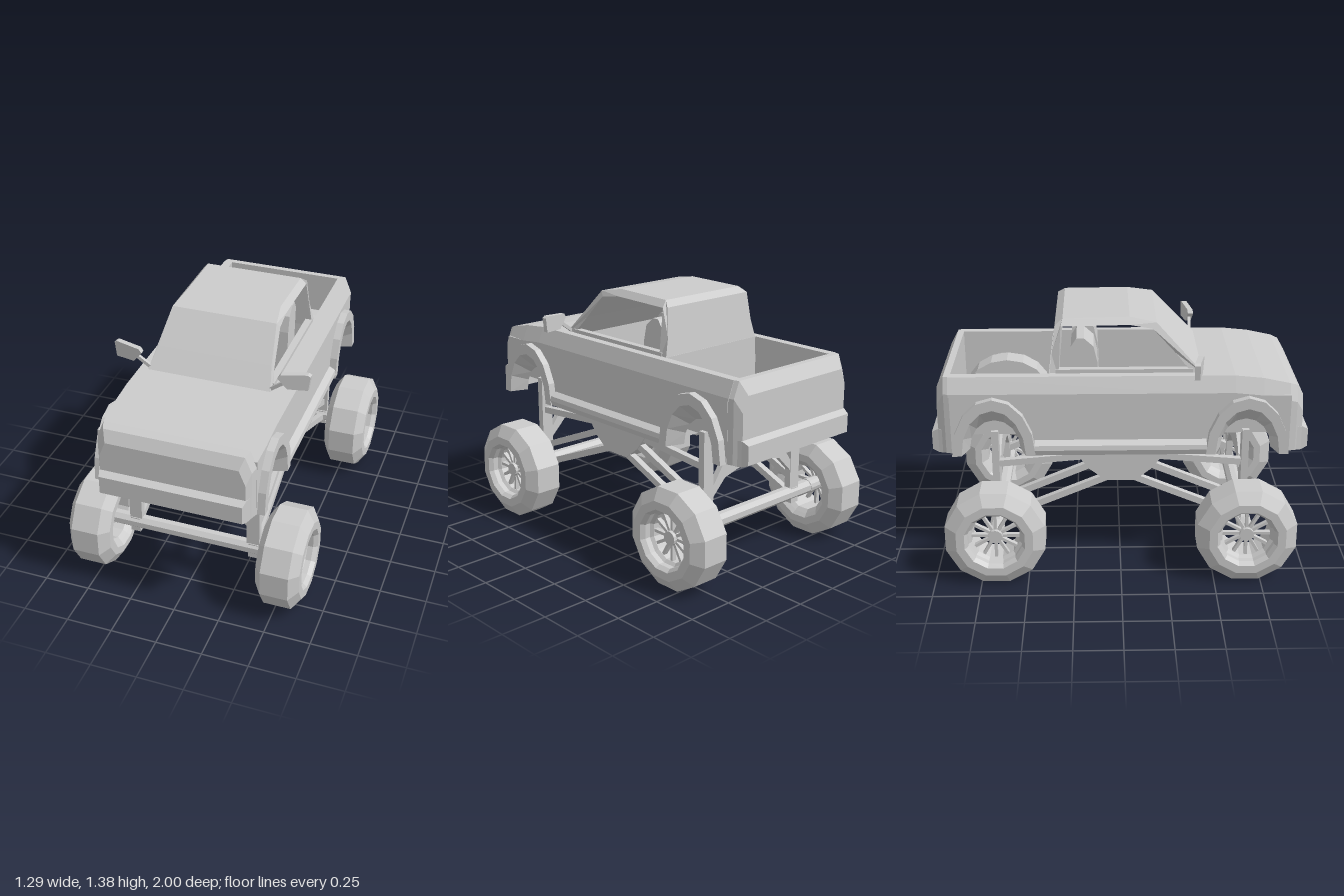
import * as THREE from 'three';

const mat = new THREE.MeshStandardMaterial({ color: 0xcccccc, flatShading: true });

// Capped solid through a row of closed, equally long outlines
function loft(sections) {
  const n = sections[0].length, last = (sections.length - 1) * n, idx = [];
  for (let s = 0; s < sections.length - 1; s++)
    for (let i = 0; i < n; i++) {
      const a = s * n + i, b = s * n + (i + 1) % n;
      idx.push(a, b, a + n, b, b + n, a + n);
    }
  for (let i = 1; i < n - 1; i++) idx.push(0, i + 1, i, last, last + i, last + i + 1);
  const pts = sections.flat().map(p => new THREE.Vector3(...p));
  let volume = 0;
  for (let i = 0; i < idx.length; i += 3)
    volume += pts[idx[i]].dot(pts[idx[i + 1]].clone().cross(pts[idx[i + 2]]));
  if (volume < 0) idx.reverse();
  const g = new THREE.BufferGeometry().setFromPoints(pts);
  g.setIndex(idx);
  g.computeVertexNormals();
  return g;
}

const shapeOf = pts => new THREE.Shape(pts.map(p => new THREE.Vector2(...p)));

// Side profile given as [z, y], running from x0 to x1
function extrudeX(pts, x0, x1) {
  const g = new THREE.ExtrudeGeometry(shapeOf(pts), { depth: x1 - x0, bevelEnabled: false });
  return g.rotateY(-Math.PI / 2).translate(x1, 0, 0);
}

function box(x0, x1, y0, y1, z0, z1) {
  return new THREE.BoxGeometry(Math.abs(x1 - x0), y1 - y0, Math.abs(z1 - z0))
    .translate((x0 + x1) / 2, (y0 + y1) / 2, (z0 + z1) / 2);
}

// Points of a wheel arch standing on the sill line
const arch = (zc, rx, ry, base = 0.68, n = 8) => Array.from({ length: n + 1 }, (_, i) => {
  const a = Math.PI * (1 - i / n);
  return [zc + rx * Math.cos(a), base + ry * Math.sin(a)];
});

// Body cross-section with chamfered shoulders
const bodySection = (z, w, top, base) => [
  [w, base, z], [w, top - 0.085, z], [w - 0.035, top, z],
  [-w + 0.035, top, z], [-w, top - 0.085, z], [-w, base, z]];

// Half width of the cab at a given height
function cabWidth(y) {
  const k = [[1.08, 0.34], [1.2, 0.31], [1.345, 0.3], [1.385, 0.265]];
  for (let i = 1; i < k.length; i++)
    if (y <= k[i][0] || i === k.length - 1)
      return THREE.MathUtils.mapLinear(y, k[i - 1][0], k[i][0], k[i - 1][1], k[i][1]);
}

function makeWheel() {
  const wheel = new THREE.Group();
  const part = (g, name) => {
    const m = new THREE.Mesh(g, mat);
    m.name = name;
    wheel.add(m);
  };
  const profile = [[0.13, -0.08], [0.15, -0.1], [0.17, -0.118], [0.21, -0.118], [0.274, -0.075],
    [0.274, 0.075], [0.21, 0.118], [0.165, 0.118], [0.148, 0.095], [0.148, 0.065], [0.132, 0.05], [0.13, -0.08]];
  const tyre = new THREE.LatheGeometry(profile.map(p => new THREE.Vector2(...p)), 12, Math.PI / 12);
  part(tyre.rotateZ(-Math.PI / 2), 'tyre');
  part(new THREE.CylinderGeometry(0.038, 0.042, 0.13, 12).rotateZ(-Math.PI / 2), 'hub');
  for (let i = 0; i < 12; i++)
    part(new THREE.BoxGeometry(0.025, 0.11, 0.016).translate(0.035, 0.082, 0).rotateX(i * Math.PI / 6), 'spoke');
  return wheel;
}

export function createModel() {
  const model = new THREE.Group();
  const add = (g, name) => {
    const m = new THREE.Mesh(g, mat);
    m.name = name;
    model.add(m);
    return m;
  };
  const beam = (a, b, t, name) => {
    const p = new THREE.Vector3(...a), q = new THREE.Vector3(...b);
    const m = add(new THREE.BoxGeometry(t, t, p.distanceTo(q)), name);
    m.position.copy(p).lerp(q, 0.5);
    m.lookAt(q);
  };

  // Hood, nose, tailgate and bumpers
  add(loft([[0.4, 0.42, 1.1], [0.6, 0.42, 1.1], [0.75, 0.42, 1.085], [0.89, 0.42, 1.055]]
    .map(([z, w, t]) => bodySection(z, w, t, 0.95))), 'hood');
  add(loft([[0.89, 0.42, 1.055], [0.93, 0.405, 1.04], [0.965, 0.385, 0.98]]
    .map(([z, w, t]) => bodySection(z, w, t, 0.68))), 'nose');
  add(loft([[-0.89, 0.42, 1.1], [-0.925, 0.41, 1.1], [-0.965, 0.385, 1.03]]
    .map(([z, w, t]) => bodySection(z, w, t, 0.68))), 'tailgate');
  for (const s of [1, -1])
    add(loft([[0.9, 0.415, 0.68, 0.81], [0.965, 0.39, 0.675, 0.81], [1, 0.38, 0.69, 0.79]].map(([z, w, b, t]) =>
      [[w, b, s * z], [w, t, s * z], [-w, t, s * z], [-w, b, s * z]])), s > 0 ? 'frontBumper' : 'rearBumper');

  // Inner body
  add(box(-0.34, 0.34, 0.755, 1, 0.4, 0.9), 'engineBay');
  add(box(-0.34, 0.34, 0.68, 0.75, -0.46, 0.46), 'cabFloor');
  add(box(-0.34, 0.34, 0.755, 0.79, -0.9, -0.37), 'bedFloor');
  add(box(-0.34, 0.34, 0.74, 1.1, -0.375, -0.34), 'bulkhead');

  // Cab shell: windscreen, roof and back wall in one bent plate
  const cab = extrudeX([[0.45, 1.08], [0.34, 1.2], [0.19, 1.36], [0.05, 1.385], [-0.3, 1.38], [-0.34, 1.35],
    [-0.36, 1.2], [-0.375, 1.08], [-0.325, 1.08], [-0.318, 1.2], [-0.31, 1.345], [0.05, 1.35], [0.17, 1.33],
    [0.29, 1.2], [0.39, 1.08]], -1, 1);
  const cp = cab.attributes.position;
  for (let i = 0; i < cp.count; i++) cp.setX(i, cp.getX(i) * cabWidth(cp.getY(i)));
  cab.computeVertexNormals();
  add(cab, 'cabShell');

  const panel = [[-0.895, 0.68], ...arch(-0.67, 0.2, 0.29), ...arch(0.67, 0.2, 0.29),
    [0.895, 0.68], [0.895, 1], [-0.895, 1]];
  for (const s of [1, -1]) {
    // Body sides
    const g = extrudeX(panel, 0.34, 0.42);
    add(s > 0 ? g : g.translate(-0.76, 0, 0), 'sidePanel');
    add(loft([-0.9, 0.41].map(z => [[s * 0.42, 1, z], [s * 0.42, 1.015, z], [s * 0.385, 1.1, z],
      [s * 0.335, 1.1, z], [s * 0.335, 1, z]])), 'bedRail');
    add(box(s * 0.3, s * 0.338, 1.07, 1.12, -0.34, 0.38), 'windowSill');
    add(loft([-0.455, 0.455].map(z => [[s * 0.4, 0.68, z], [s * 0.45, 0.68, z], [s * 0.46, 0.71, z],
      [s * 0.455, 0.735, z], [s * 0.42, 0.755, z], [s * 0.4, 0.755, z]])), 'rocker');

    // Flared arches
    for (const zc of [0.67, -0.67]) {
      const A = arch(zc, 0.22, 0.32), B = arch(zc, 0.17, 0.26), C = arch(zc, 0.135, 0.165);
      add(loft(A.map(([z, y], i) => [[s * 0.4, y, z], [s * 0.46, y, z],
        [s * 0.46, B[i][1], B[i][0]], [s * 0.36, C[i][1], C[i][0]]])), 'archFlare');
    }

    // Wheel housings in the bed
    const x = s > 0 ? [0.21, 0.345] : [-0.345, -0.21];
    add(extrudeX(arch(-0.64, 0.24, 0.2, 0.77), ...x), 'bedWheelHousing');

    // Seats
    const sx = s > 0 ? [0.06, 0.26] : [-0.26, -0.06];
    add(extrudeX([[-0.11, 0.88], [-0.12, 1.13], [-0.14, 1.22], [-0.19, 1.265], [-0.23, 1.265], [-0.26, 1.22],
      [-0.25, 1.1], [-0.24, 0.74], [0.1, 0.74], [0.1, 0.88]], ...sx), 'seat');

    // Door mirrors
    const head = new THREE.ExtrudeGeometry(shapeOf([[0.535, 1.21], [0.52, 1.22], [0.385, 1.21], [0.37, 1.19],
      [0.42, 1.13], [0.525, 1.13]].map(([px, y]) => [s * px, y])), { depth: 0.03, bevelEnabled: false });
    const hp = head.attributes.position;
    for (let i = 0; i < hp.count; i++) hp.setZ(i, hp.getZ(i) + 0.405 - (Math.abs(hp.getX(i)) - 0.37) * 0.2);
    head.computeVertexNormals();
    add(head, 'mirrorHead');
    beam([s * 0.4, 1.16, 0.415], [s * 0.32, 1.1, 0.41], 0.018, 'mirrorArm');

    // Link mount under the cab
    add(extrudeX([[0.25, 0.69], [0.235, 0.64], [0.17, 0.555], [0.08, 0.485], [-0.08, 0.485], [-0.17, 0.555],
      [-0.235, 0.64], [-0.25, 0.69]], ...(s > 0 ? [0.18, 0.36] : [-0.36, -0.18])), 'linkMount');

    // Suspension and wheels at each corner
    for (const f of [1, -1]) {
      add(box(s * 0.3, s * 0.37, 0.29, 0.78, f * 0.652, f * 0.69), 'strut');
      add(box(s * 0.31, s * 0.365, 0.212, 0.3, f * 0.645, f * 0.695), 'strutFoot');
      beam([s * 0.335, 0.625, f * 0.2], [s * 0.335, 0.585, f * 0.66], 0.036, 'upperLink');
      beam([s * 0.335, 0.58, f * 0.15], [s * 0.335, 0.36, f * 0.67], 0.036, 'middleLink');
      beam([s * 0.335, 0.505, f * 0.06], [s * 0.335, 0.25, f * 0.67], 0.036, 'lowerLink');
      const wheel = makeWheel();
      wheel.name = f > 0 ? 'frontWheel' : 'rearWheel';
      wheel.position.set(s * 0.527, 0.267, f * 0.67);
      if (s < 0) wheel.rotation.y = Math.PI;
      model.add(wheel);
    }
  }

  // Axles and arched cross plates between the struts
  const half = [[0.31, 0.4], [0.3, 0.47], [0.23, 0.57], [0.18, 0.61], [0.11, 0.635]];
  const under = [[0.115, 0.525], [0.21, 0.5]];
  const flip = pts => pts.map(([x, y]) => [-x, y]).reverse();
  const crescent = [...half, ...flip(half), ...flip(under), ...under];
  for (const f of [1, -1]) {
    add(new THREE.CylinderGeometry(0.04, 0.04, 0.94, 8, 1).rotateY(Math.PI / 8).rotateZ(Math.PI / 2)
      .translate(0, 0.267, f * 0.67), 'axle');
    add(new THREE.ExtrudeGeometry(shapeOf(crescent), { depth: 0.032, bevelEnabled: false })
      .translate(0, 0, f * 0.67 - 0.016), 'crossPlate');
  }
  return model;
}
